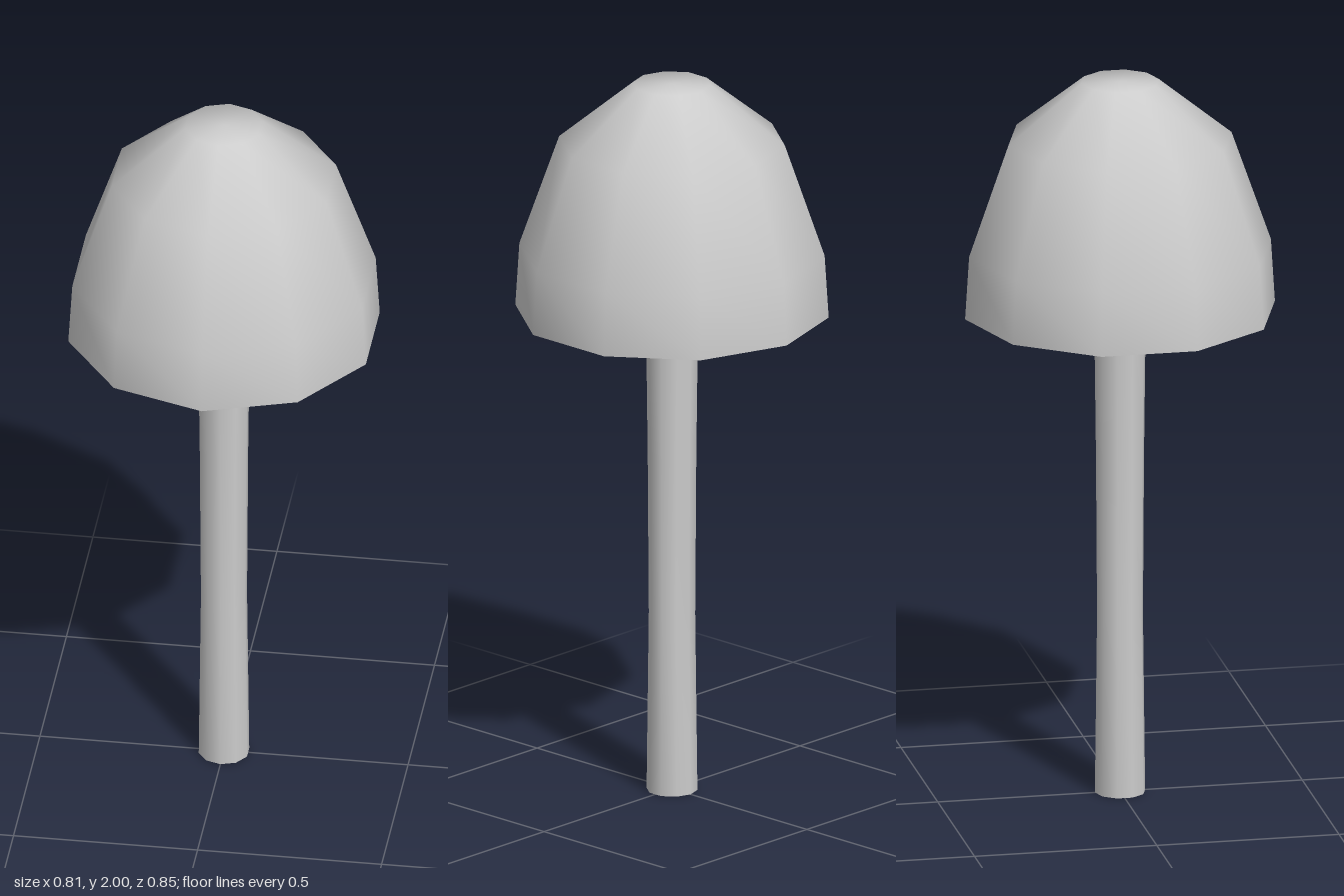
import * as THREE from 'three';
import { mergeVertices } from 'three/addons/utils/BufferGeometryUtils.js';

const SIDES = 10;

export function createModel() {
  const group = new THREE.Group();
  const material = new THREE.MeshStandardMaterial({ color: 0xcccccc, side: THREE.DoubleSide });

  // Turn a [radius, height] profile into a smooth ten-sided open shell
  const turned = (name, profile) => {
    const points = profile.map(([r, y]) => new THREE.Vector2(r, y));
    const lathe = new THREE.LatheGeometry(points, SIDES);
    lathe.deleteAttribute('uv');
    lathe.deleteAttribute('normal');
    const geometry = mergeVertices(lathe);
    geometry.computeVertexNormals();
    const mesh = new THREE.Mesh(geometry, material);
    mesh.name = name;
    group.add(mesh);
  };

  // Thin hollow dome, from the rim to the small flat crown
  turned('cap', [[0.425, 1.355], [0.414, 1.53], [0.306, 1.838], [0.106, 2], [0, 2]]);

  // Slightly waisted tubular stem, running up inside the dome to the crown
  turned('stem', [[0.069, 0], [0.063, 0.5], [0.066, 0.95], [0.071, 1.36], [0.075, 1.99]]);

  return group;
}
